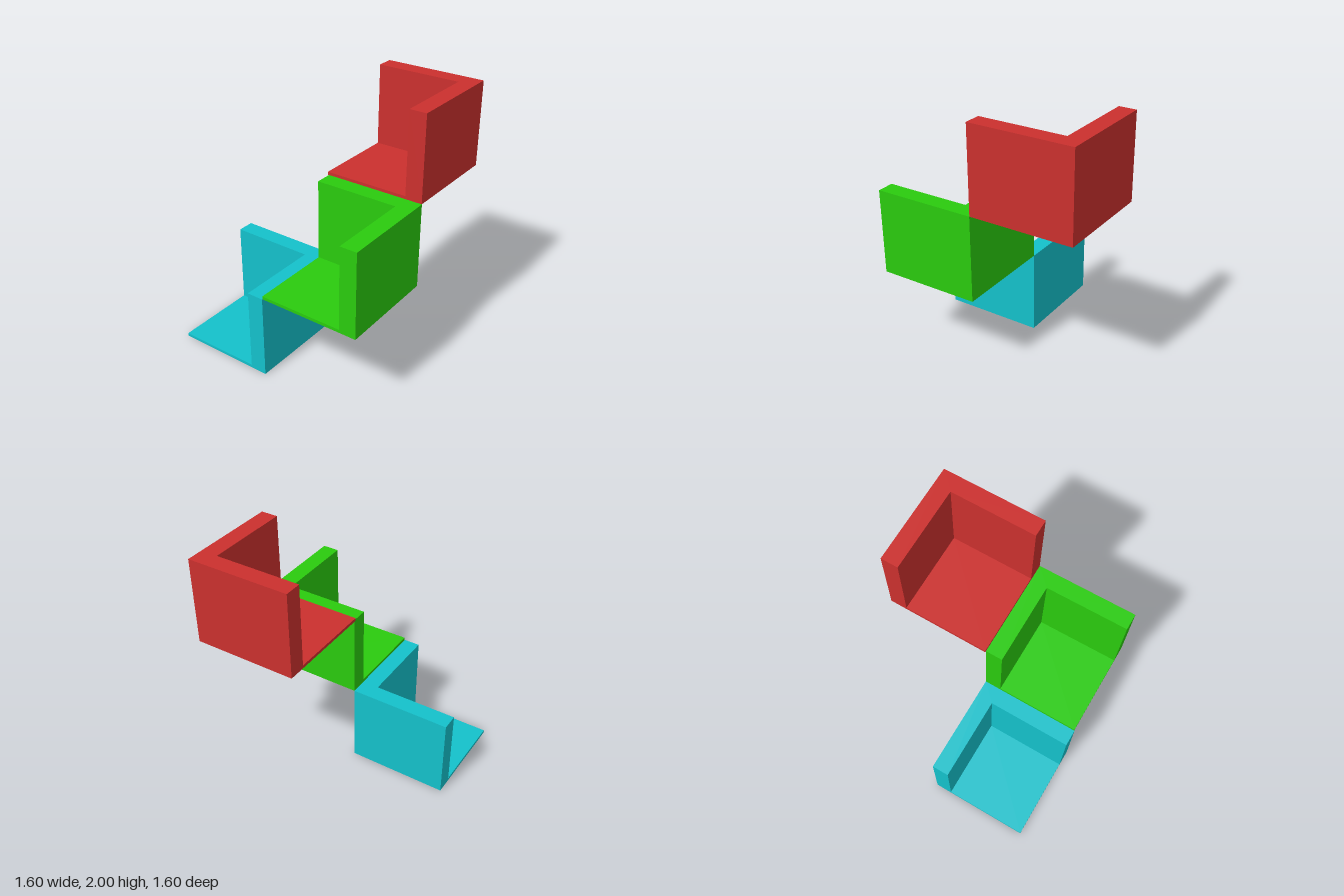
import * as THREE from 'three';

const SIZE = 0.8, WALL = 0.133, HEIGHT = 0.667, FLOOR = 0.024;

// Extrude a plan outline of [x, z] points upward from y = 0
function upright(points, height, material, name) {
  const shape = new THREE.Shape(points.map(([x, z]) => new THREE.Vector2(x, -z)));
  const geometry = new THREE.ExtrudeGeometry(shape, { depth: height, bevelEnabled: false });
  geometry.rotateX(-Math.PI / 2);
  const mesh = new THREE.Mesh(geometry, material);
  mesh.name = name;
  return mesh;
}

// Open corner: back wall and left wall around a thin floor.
// width is measured at the back; splay widens it towards the front.
function cornerBlock(name, color, x, y, z, width, depth, splay) {
  const material = new THREE.MeshStandardMaterial({ color });
  const block = new THREE.Group();
  block.name = name;
  const front = width + splay;
  const innerBack = width - WALL + splay * WALL / depth;
  const innerFront = front - WALL;

  const walls = [[0, 0], [width, 0], [front, depth], [innerFront, depth], [innerBack, WALL], [0, WALL]];
  const floor = [[0, WALL], [innerBack, WALL], [innerFront, depth], [0, depth]];
  block.add(upright(walls, HEIGHT, material, name + 'Walls'));
  block.add(upright(floor, FLOOR, material, name + 'Floor'));
  block.position.set(x, y, z);
  return block;
}

export function createModel() {
  const model = new THREE.Group();
  model.name = 'steppedCorners';
  model.add(
    cornerBlock('lowerCorner', 0x14c1cb, -0.8, 0, 0, SIZE, SIZE, 0),
    cornerBlock('middleCorner', 0x2acb0e, 0, HEIGHT, 0, 0.792, 0.796, 0.007),
    cornerBlock('upperCorner', 0xcb302e, -0.01, 2 - HEIGHT, -0.8, SIZE, SIZE, 0)
  );
  return model;
}
